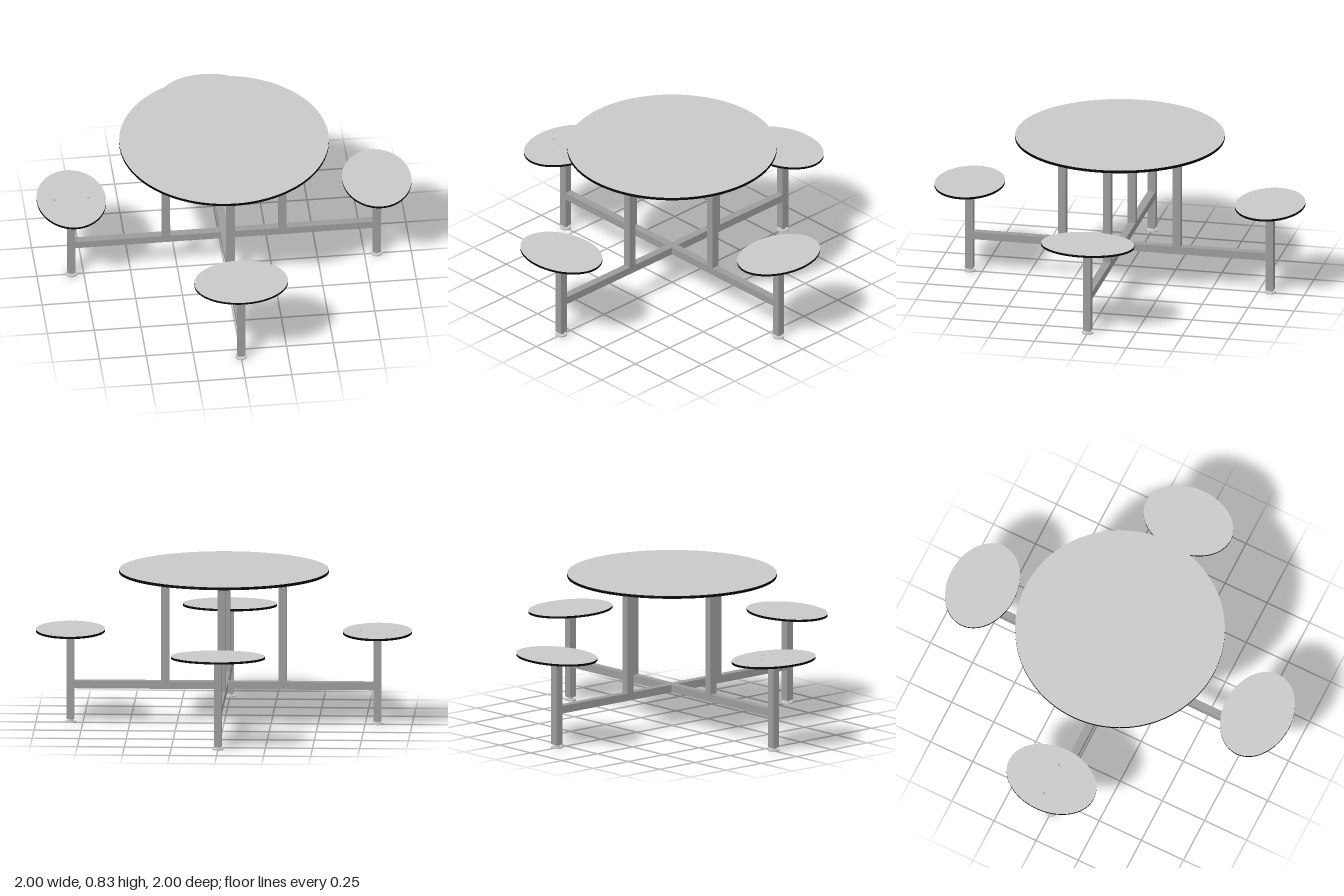
import * as THREE from 'three';

const topGrey = new THREE.MeshStandardMaterial({ name: 'lightGreyLaminate', color: 0xc8c8c8 });
const steel = new THREE.MeshStandardMaterial({ name: 'greySteel', color: 0x9c9c9c });
const black = new THREE.MeshStandardMaterial({ name: 'blackEdging', color: 0x080808 });

function add(parent, name, geometry, material, x, y, z) {
  const mesh = new THREE.Mesh(geometry, material);
  mesh.name = name;
  mesh.position.set(x, y, z);
  parent.add(mesh);
  return mesh;
}

// box spanning y0..y1
function bar(parent, name, w, y0, y1, d, x, z = 0) {
  return add(parent, name, new THREE.BoxGeometry(w, y1 - y0, d), steel, x, (y0 + y1) / 2, z);
}

// upright disc spanning y0..y1; material may be [side, top, bottom]
function disc(parent, name, r, y0, y1, material, x = 0, z = 0, segments = 48) {
  return add(parent, name, new THREE.CylinderGeometry(r, r, y1 - y0, segments), material, x, (y0 + y1) / 2, z);
}

const TUBE = 0.042;
const SEAT = 0.816;
const POST = 0.312;

// one arm along +x: beam, table post, seat leg, foot and oval seat
function createArm(beamStart) {
  const arm = new THREE.Group();
  const beamEnd = SEAT - TUBE / 2;
  bar(arm, 'beam', beamEnd - beamStart, 0.187, 0.228, TUBE, (beamStart + beamEnd) / 2);
  bar(arm, 'tablePost', TUBE, 0.228, 0.809, TUBE, POST);
  bar(arm, 'seatLeg', TUBE, 0.02, 0.486, TUBE, SEAT);

  disc(arm, 'footPad', 0.03, 0, 0.008, topGrey, SEAT, 0, 32);
  disc(arm, 'footNeck', 0.014, 0.008, 0.02, topGrey, SEAT, 0, 24);

  disc(arm, 'seatPlate', 0.113, 0.486, 0.492, steel, SEAT);
  const seat = disc(arm, 'seat', 1, 0.492, 0.504, [black, topGrey, topGrey], SEAT, 0, 72);
  seat.scale.set(0.184, 1, 0.25);
  return arm;
}

export function createModel() {
  const model = new THREE.Group();
  model.name = 'picnicTable';

  // four arms; the x beams meet in the middle, the z beams butt against them
  const names = ['leftArm', 'backArm', 'rightArm', 'frontArm'];
  names.forEach((name, i) => {
    const arm = createArm(i % 2 ? TUBE / 2 : 0);
    arm.name = name;
    arm.rotation.y = i * Math.PI / 2;
    model.add(arm);

    // exposed fixings on one seat
    if (name === 'rightArm') {
      for (let k = 0; k < 4; k++) {
        const a = k * Math.PI / 2;
        disc(arm, 'seatBolt', k % 2 ? 0.007 : 0.005, 0.503, 0.5055, k % 2 ? topGrey : steel,
          SEAT + 0.09 * Math.cos(a), 0.09 * Math.sin(a), 16);
      }
    }
  });

  // round top on its square mounting plate
  bar(model, 'tablePlate', 0.65, 0.809, 0.815, 0.65, 0);
  disc(model, 'tableTop', 0.557, 0.815, 0.83, [black, topGrey, topGrey], 0, 0, 96);

  return model;
}
